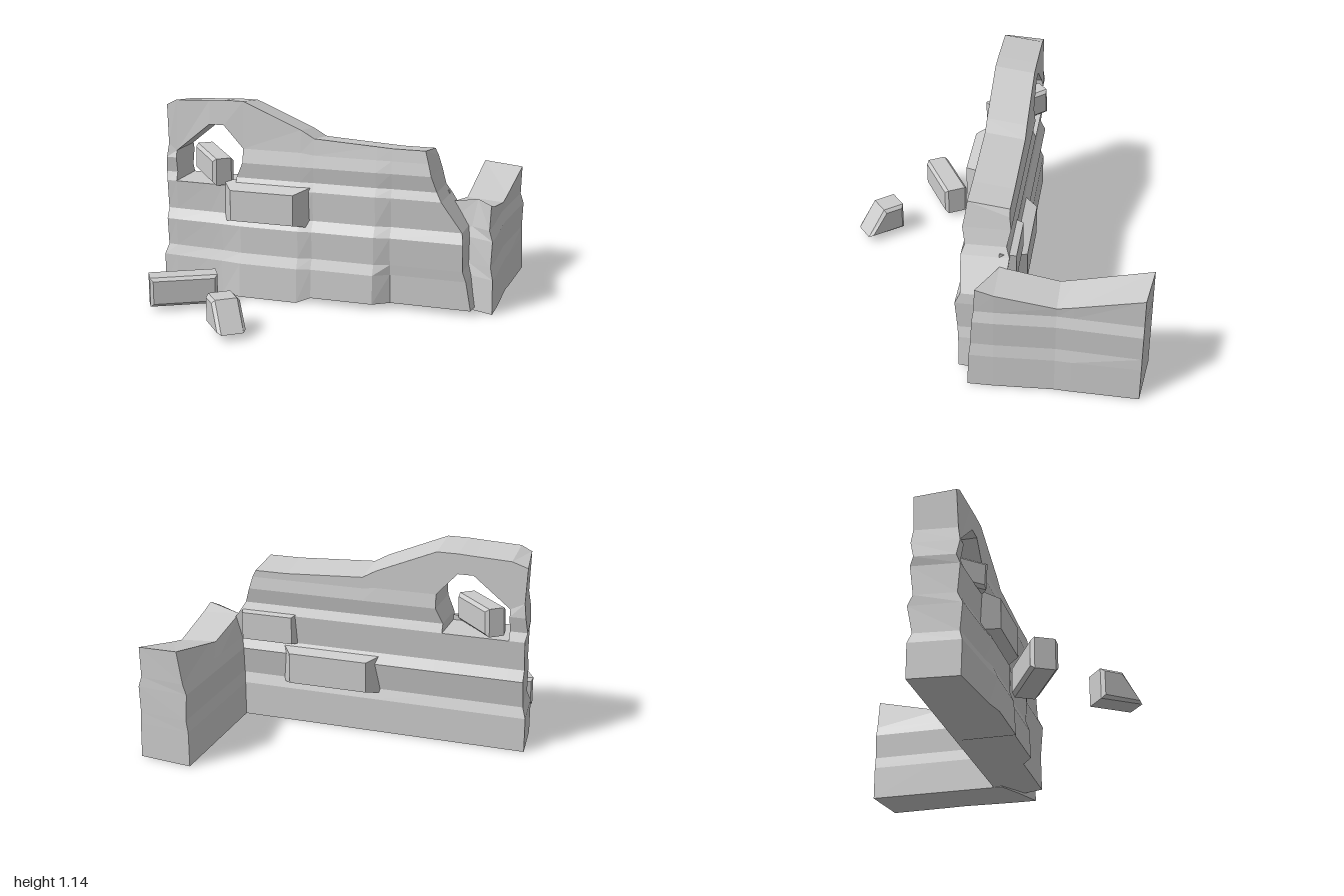
import * as THREE from 'three';

const material = new THREE.MeshStandardMaterial({ color: 0xcccccc, flatShading: true });

// Thick wall from a grid of columns and rows: point(c, r, back) gives a corner,
// hole(c, r) leaves a cell open, and every free edge is closed across the thickness.
function wallGeometry(cols, rows, point, hole = () => false) {
  const pos = [];
  const quad = (...p) => [0, 1, 2, 0, 2, 3].forEach(i => pos.push(...p[i]));
  const solid = (c, r) => c >= 0 && r >= 0 && c < cols - 1 && r < rows - 1 && !hole(c, r);
  for (let c = 0; c < cols - 1; c++) {
    for (let r = 0; r < rows - 1; r++) {
      if (!solid(c, r)) continue;
      const k = [[c, r], [c + 1, r], [c + 1, r + 1], [c, r + 1]];
      const f = k.map(([i, j]) => point(i, j, false));
      const b = k.map(([i, j]) => point(i, j, true));
      quad(...f);
      quad(b[3], b[2], b[1], b[0]);
      [[0, -1], [1, 0], [0, 1], [-1, 0]].forEach(([dc, dr], i) => {
        const j = (i + 1) % 4;
        if (!solid(c + dc, r + dr)) quad(f[j], f[i], b[i], b[j]);
      });
    }
  }
  const g = new THREE.BufferGeometry();
  g.setAttribute('position', new THREE.Float32BufferAttribute(pos, 3));
  g.computeVertexNormals();
  return g;
}

// Chamfered loose stone; slope cuts back the upper end at +x
function stoneGeometry(w, h, d, slope = 0, bevel = 0.018) {
  const x = w / 2 - bevel, y = h / 2 - bevel;
  const shape = new THREE.Shape([
    new THREE.Vector2(-x, -y), new THREE.Vector2(x, -y),
    new THREE.Vector2(x - slope, y), new THREE.Vector2(-x, y)]);
  return new THREE.ExtrudeGeometry(shape, {
    depth: d - 2 * bevel, bevelEnabled: true, bevelSegments: 1,
    bevelSize: bevel, bevelThickness: bevel
  }).translate(0, 0, bevel - d / 2);
}

// Stone standing proud of the wall, tapered toward its outer face
function proudGeometry(w, h, d, tx, ty) {
  const g = new THREE.BoxGeometry(w, h, d);
  const p = g.attributes.position;
  for (let i = 0; i < p.count; i++) {
    if (p.getZ(i) > 0) p.setXY(i, p.getX(i) * tx, p.getY(i) * ty);
  }
  g.computeVertexNormals();
  return g;
}

function mainWallGeometry() {
  const xs = [-1, -0.89, -0.68, -0.59, -0.47, -0.12, -0.04, 0.33, 0.42, 0.6];
  const ys = [0, 0.2, 0.26, 0.42, 0.48, 0.65, 0.7, 0.79, 0.87, 1];
  const arch = [0.87, 0.83, 1, 1, 0.87, 0.87, 0.86, 0.86, 0.86, 0.86];
  const top = [1.1, 1.13, 1.14, 1.145, 1.145, 1, 0.955, 0.935, 0.93, 0.93];
  const leftEnd = [-1, -1, -0.98, -0.98, -0.98, -0.98, -0.99, -0.98, -0.97, -0.98];
  const rightEnd = [0.89, 0.86, 0.84, 0.84, 0.83, 0.71, 0.68, 0.65, 0.63, 0.61];
  const front = [0.15, 0.15, 0.13, 0.14, 0.11, 0.12, 0.1, 0.115, 0.1, 0.09];
  const back = [0.15, 0.15, 0.13, 0.16, 0.13, 0.15, 0.13, 0.15, 0.14, 0.14];
  const bulge = [-0.02, -0.01, 0.01, 0.02, 0.045, 0.045, 0.02, 0.02, -0.02, -0.02];
  const point = (c, r, isBack) => {
    let x = xs[c], y = r === 9 ? top[c] : r === 8 ? arch[c] : ys[r];
    if (c === 0) x = leftEnd[r] + (isBack ? 0 : 0.03);
    if (c === 9) x = rightEnd[r];
    if (c === 4 && (r === 5 || r === 6)) x = -0.51;
    if (isBack && r === 9) y -= 0.03;
    if (!isBack && r === 0 && c > 5) y = 0.03;
    const fade = Math.max(0, 1 - ys[r] / 0.9);
    // the lowest course sits back on the right
    const recess = c > 7 && r < 2 ? 0.025 : 0;
    return [x, y, isBack ? -back[r] : front[r] + bulge[c] * fade - recess];
  };
  return wallGeometry(10, 10, point, (c, r) => c >= 1 && c <= 3 && r >= 5 && r <= 7);
}

function sideWallGeometry() {
  const zs = [0.04, -0.1, -0.43, -0.52, -0.89];
  const ys = [0, 0.2, 0.27, 0.42, 0.48, 0.6];
  const top = [0.63, 0.6, 0.54, 0.56, 0.655];
  const outer = [1, 0.995, 0.98, 0.985, 0.965, 0.97];
  const inner = [0.69, 0.69, 0.7, 0.69, 0.71, 0.74];
  const waist = [0, 0, -0.015, -0.01, 0.01];
  const point = (c, r, isInner) => {
    const end = c === 0 ? -0.07 : c === 4 ? -0.035 : 0;
    const z = zs[c] + (isInner ? end : 0) - (c === 0 ? r * 0.008 : 0);
    const x = isInner ? inner[r] + (c === 0 ? 0.14 : 0) : outer[r] + (r > 1 ? waist[c] : Math.min(0, waist[c]));
    return [x, r === 5 ? top[c] + (isInner ? 0.01 : -0.005) : ys[r], z];
  };
  return wallGeometry(5, 6, point);
}

export function createModel() {
  const group = new THREE.Group();
  const add = (name, geometry, position = [0, 0, 0], rotation = [0, 0, 0]) => {
    const mesh = new THREE.Mesh(geometry, material);
    mesh.name = name;
    mesh.position.set(...position);
    mesh.rotation.set(...rotation);
    group.add(mesh);
  };

  add('mainWall', mainWallGeometry());
  add('sideWall', sideWallGeometry());

  // Stones standing out of the wall faces
  add('frontProudStone', proudGeometry(0.56, 0.25, 0.12, 0.68, 0.72), [-0.32, 0.555, 0.155]);
  add('backLowerStone', proudGeometry(0.62, 0.24, 0.1, 0.75, 0.75), [0.15, 0.35, -0.16], [0, Math.PI, 0]);
  add('backUpperStone', proudGeometry(0.36, 0.2, 0.09, 0.85, 0.8), [0.53, 0.57, -0.14], [0, Math.PI, 0]);

  // Stone resting in the opening, and two fallen ones
  add('openingStone', stoneGeometry(0.38, 0.16, 0.125), [-0.7, 0.742, -0.01], [0, -0.88, -0.05]);
  add('fallenLongStone', stoneGeometry(0.385, 0.17, 0.145), [-0.715, 0.11, 0.445], [0, 0.51, 0]);
  add('fallenBrokenStone', stoneGeometry(0.24, 0.17, 0.16, 0.1), [-0.31, 0.115, 0.787], [0, -0.89, 0]);

  return group;
}
